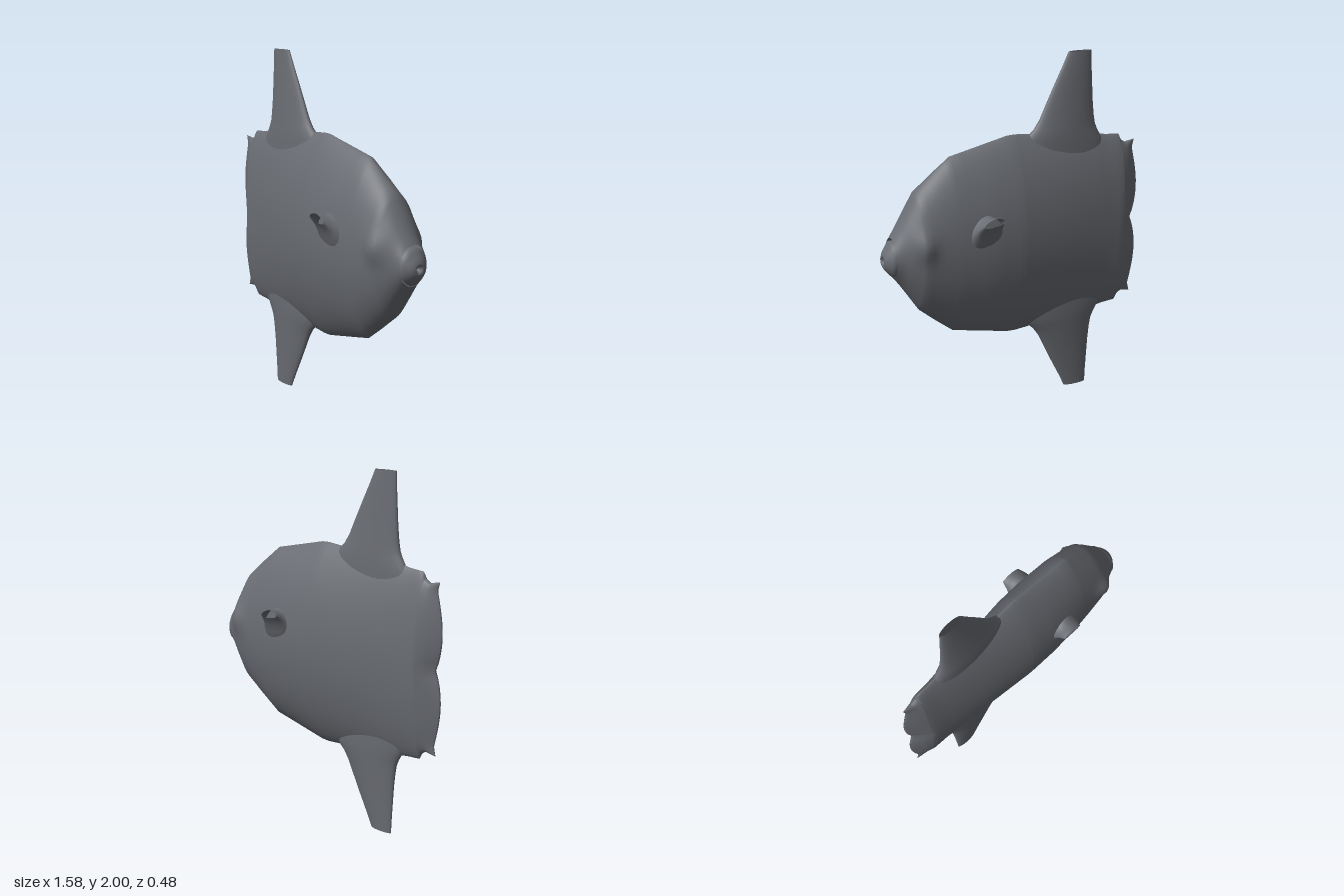
import * as THREE from 'three';

const skin = new THREE.MeshStandardMaterial({ color: 0x696c72, side: THREE.DoubleSide });
skin.name = 'slate grey skin';

// Skin a list of closed rings (arrays of [x, y, z]) with smooth shared vertices
function loft(name, rings) {
  const n = rings[0].length;
  const index = [];
  for (let i = 0; i < rings.length - 1; i++) {
    for (let j = 0; j < n; j++) {
      const k = (j + 1) % n;
      const a = i * n + j, b = a + n, c = i * n + k, d = c + n;
      index.push(a, b, c, b, d, c);
    }
  }
  const geo = new THREE.BufferGeometry();
  geo.setAttribute('position', new THREE.Float32BufferAttribute(rings.flat(2), 3));
  geo.setIndex(index);
  geo.computeVertexNormals();
  const mesh = new THREE.Mesh(geo, skin);
  mesh.name = name;
  return mesh;
}

// Straight interpolation between neighbouring stations
function subdivide(stations, steps) {
  const out = [];
  for (let i = 0; i < stations.length - 1; i++) {
    for (let s = 0; s < steps; s++) {
      out.push(stations[i].map((v, k) => v + (stations[i + 1][k] - v) * s / steps));
    }
  }
  out.push(stations[stations.length - 1]);
  return out;
}

const around = (n, fn) => Array.from({ length: n }, (_, j) => fn((j / n) * Math.PI * 2));
const signedPow = (v, p) => Math.sign(v) * Math.pow(Math.abs(v), p);

// Lens-shaped ring: y half height, z half width, larger power = sharper edge
const lens = (x, cy, h, w, power) => around(64, (a) =>
  [x, cy + h * Math.sin(a), w * signedPow(Math.cos(a), power)]);

// Body stations: x, centre y, half height, half width, edge power
function makeBody() {
  const stations = [
    [-0.68, 1, 0.47, 0.07, 1.1],
    [-0.66, 1, 0.508, 0.083, 1.4],
    [-0.57, 1, 0.515, 0.093, 1.5],
    [-0.48, 1, 0.535, 0.105, 1.55],
    [-0.25, 1, 0.555, 0.137, 1.6],
    [0.0, 1, 0.577, 0.17, 1.6],
    [0.05, 1, 0.575, 0.174, 1.6],
    [0.2, 1, 0.542, 0.18, 1.5],
    [0.39, 1, 0.5, 0.172, 1.4],
    [0.49, 1, 0.422, 0.165, 1.25],
    [0.59, 1, 0.338, 0.155, 1.1],
    [0.65, 0.995, 0.24, 0.128, 1],
    [0.7, 0.99, 0.16, 0.103, 1],
    [0.735, 0.985, 0.11, 0.09, 1],
  ];
  const rings = subdivide(stations, 3).map((s) => lens(...s));
  // Rounded swellings around the eyes
  for (const p of rings.flat()) {
    const d = ((p[0] - 0.6) / 0.055) ** 2 + ((p[1] - 1.07) / 0.075) ** 2;
    if (Math.abs(p[2]) > 0.05) p[2] += Math.sign(p[2]) * 0.03 * Math.exp(-d);
  }
  return loft('body', rings);
}

// Blunt beak with a small recessed mouth
function makeMouth() {
  return loft('mouth', [
    lens(0.715, 0.985, 0.095, 0.085, 1),
    lens(0.74, 0.98, 0.1, 0.089, 1),
    lens(0.755, 0.977, 0.08, 0.076, 1),
    lens(0.775, 0.975, 0.055, 0.055, 1),
    lens(0.787, 0.975, 0.033, 0.032, 1),
    lens(0.785, 0.975, 0.02, 0.02, 1),
    lens(0.765, 0.975, 0.012, 0.012, 1),
    lens(0.76, 0.975, 0.0005, 0.0005, 1),
  ]);
}

// Wedge-shaped tail with a scalloped trailing edge
function makeTail() {
  const edge = (y) => {
    const d = Math.abs(y - 1);
    return d < 0.42 ? -0.753 - 0.037 * Math.sin(Math.PI * Math.pow(d / 0.42, 0.85))
      : -0.753 - 0.3 * (d - 0.42);
  };
  // distance along tail, half height, half width, edge power
  const stations = [
    [1, 0.467, 0.0005, 0.5], [0.99, 0.467, 0.006, 0.5], [0.75, 0.462, 0.025, 0.6],
    [0.4, 0.455, 0.053, 0.8], [0, 0.48, 0.08, 1.1], [-0.3, 0.48, 0.07, 1.3],
  ];
  const rings = subdivide(stations, 3).map(([t, h, w, e]) =>
    lens(0, 1, h, w, e).map(([, y, z]) => [-0.665 + (edge(y) + 0.665) * t, y, z]));
  return loft('tail', rings);
}

// Tall open-tipped fin: y, rear x, front x, half thickness
function makeTallFin(name) {
  const stations = [
    [0.34, -0.58, -0.02, 0.055], [0.47, -0.565, -0.03, 0.054], [0.525, -0.535, -0.055, 0.052],
    [0.56, -0.515, -0.085, 0.05], [0.59, -0.502, -0.118, 0.047], [0.64, -0.493, -0.152, 0.043],
    [0.72, -0.485, -0.19, 0.036], [0.82, -0.479, -0.239, 0.029], [0.92, -0.473, -0.29, 0.023],
    [1.0, -0.47, -0.328, 0.018],
  ];
  const rings = stations.map(([y, x0, x1, w]) => around(32, (a) =>
    [(x0 + x1) / 2 + (x1 - x0) / 2 * Math.cos(a), y, w * Math.sin(a)]));
  return loft(name, rings);
}

// Small open side fin flaring up and outward: z, centre x, centre y, radius x, radius y
function makeSideFin(name) {
  const stations = [
    [0.14, 0.255, 1.08, 0.105, 0.12], [0.17, 0.252, 1.1, 0.092, 0.092],
    [0.188, 0.248, 1.125, 0.08, 0.065], [0.205, 0.244, 1.148, 0.073, 0.045],
    [0.222, 0.24, 1.163, 0.067, 0.032], [0.238, 0.237, 1.175, 0.06, 0.022],
  ];
  const rings = stations.map(([z, cx, cy, rx, ry]) => around(24, (a) =>
    [cx + rx * Math.cos(a), cy - ry * Math.sin(a) - 0.25 * rx * Math.max(0, Math.cos(a)), z]));
  return loft(name, rings);
}

export function createModel() {
  const fish = new THREE.Group();
  fish.name = 'sunfish';
  fish.add(makeBody(), makeMouth(), makeTail());

  const dorsal = makeTallFin('dorsalFin');
  dorsal.position.y = 1;
  const anal = makeTallFin('analFin');
  anal.position.y = 1;
  anal.scale.y = -1;
  fish.add(dorsal, anal);

  const near = makeSideFin('frontSideFin');
  const far = makeSideFin('backSideFin');
  far.scale.z = -1;
  fish.add(near, far);
  return fish;
}
